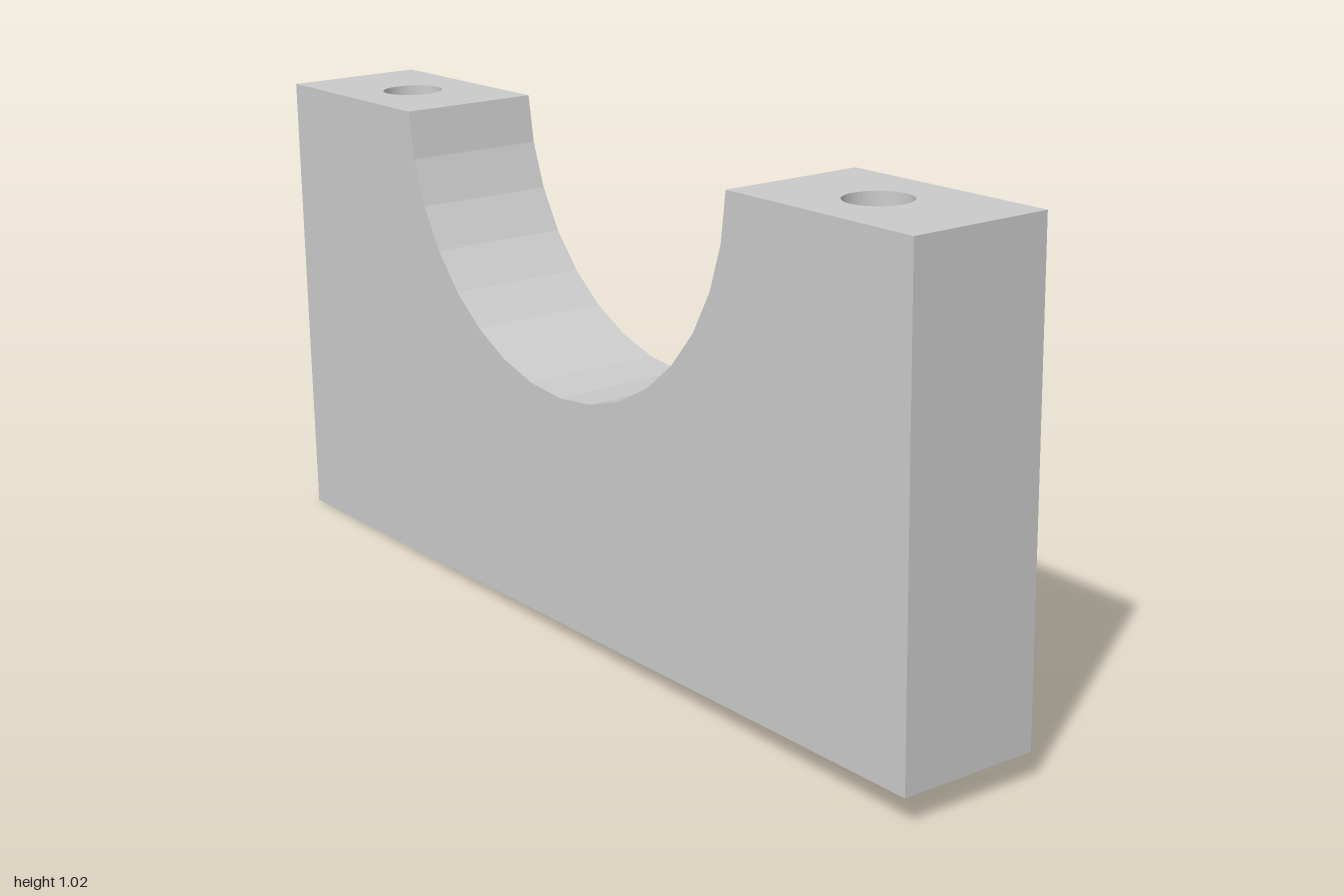
import * as THREE from 'three';
import { mergeGeometries } from 'three/addons/utils/BufferGeometryUtils.js';

const W = 1.971, H = 0.96, D = 0.295; // block size
const TILT = 0.0305;                  // slight lean about z
const R = 0.517, RISE = 0.027;        // saddle radius, centre height above the top
const ARC = Math.acos(RISE / R), ARC_SEGS = 16;
const NOTCH = R * Math.sin(ARC);      // half width of the saddle at the top
const BORE_R = 0.063, BORE_X = 0.74, BORE_SEGS = 24;

// Flat rectangle between x0 and x1 with round bolt holes
function drilledPlate(x0, x1, holeXs) {
  const shape = new THREE.Shape([
    new THREE.Vector2(x0, -D / 2), new THREE.Vector2(x1, -D / 2),
    new THREE.Vector2(x1, D / 2), new THREE.Vector2(x0, D / 2),
  ]);
  for (const x of holeXs) {
    shape.holes.push(new THREE.Path().absarc(x, 0, BORE_R, 0, Math.PI * 2, true));
  }
  return new THREE.ShapeGeometry(shape, BORE_SEGS);
}

// Front outline: block with the round saddle cut from the top
function outline() {
  const pts = [
    new THREE.Vector2(-W / 2, H), new THREE.Vector2(-W / 2, 0),
    new THREE.Vector2(W / 2, 0), new THREE.Vector2(W / 2, H),
  ];
  for (let i = 0; i <= ARC_SEGS; i++) {
    const t = ARC - (2 * ARC * i) / ARC_SEGS;
    pts.push(new THREE.Vector2(R * Math.sin(t), H + RISE - R * Math.cos(t)));
  }
  return new THREE.Shape(pts);
}

export function createModel() {
  const model = new THREE.Group();
  model.name = 'bearingSaddle';
  const block = new THREE.Group();
  block.name = 'tiltedBlock';
  model.add(block);
  const material = new THREE.MeshStandardMaterial({ color: 0xcccccc, flatShading: true });

  const add = (name, parts) => {
    const flat = parts.map((g) => {
      const n = g.index ? g.toNonIndexed() : g;
      n.computeVertexNormals();
      return n;
    });
    const mesh = new THREE.Mesh(mergeGeometries(flat), material);
    mesh.name = name;
    block.add(mesh);
  };

  // Front and back faces
  const face = new THREE.ShapeGeometry(outline()).translate(0, 0, D / 2);
  add('broadFaces', [face, face.clone().rotateY(Math.PI)]);

  // End walls
  add('endWalls', [-1, 1].map((s) =>
    new THREE.PlaneGeometry(D, H).rotateY(s * Math.PI / 2).translate(s * W / 2, H / 2, 0)));

  // Drilled top lands either side of the saddle
  add('topLands', [
    drilledPlate(-W / 2, -NOTCH, [-BORE_X]), drilledPlate(NOTCH, W / 2, [BORE_X]),
  ].map((g) => g.rotateX(-Math.PI / 2).translate(0, H, 0)));

  // Drilled underside
  add('underside', [drilledPlate(-W / 2, W / 2, [-BORE_X, BORE_X]).rotateX(Math.PI / 2)]);

  // Round saddle surface, mirrored so that it faces inward
  add('saddle', [new THREE.CylinderGeometry(R, R, D, ARC_SEGS, 1, true, -ARC, 2 * ARC)
    .rotateX(Math.PI / 2).scale(-1, 1, 1).translate(0, H + RISE, 0)]);

  // Bolt bores running top to bottom, facing inward
  add('boltBores', [-1, 1].map((s) =>
    new THREE.CylinderGeometry(BORE_R, BORE_R, H, BORE_SEGS * 2, 1, true)
      .scale(-1, 1, 1).translate(s * BORE_X, H / 2, 0)));

  // Lean the block and rest its lowest corner on the ground
  block.rotation.z = TILT;
  block.position.set(Math.sin(TILT) * H / 2, Math.sin(TILT) * W / 2, 0);
  return model;
}
